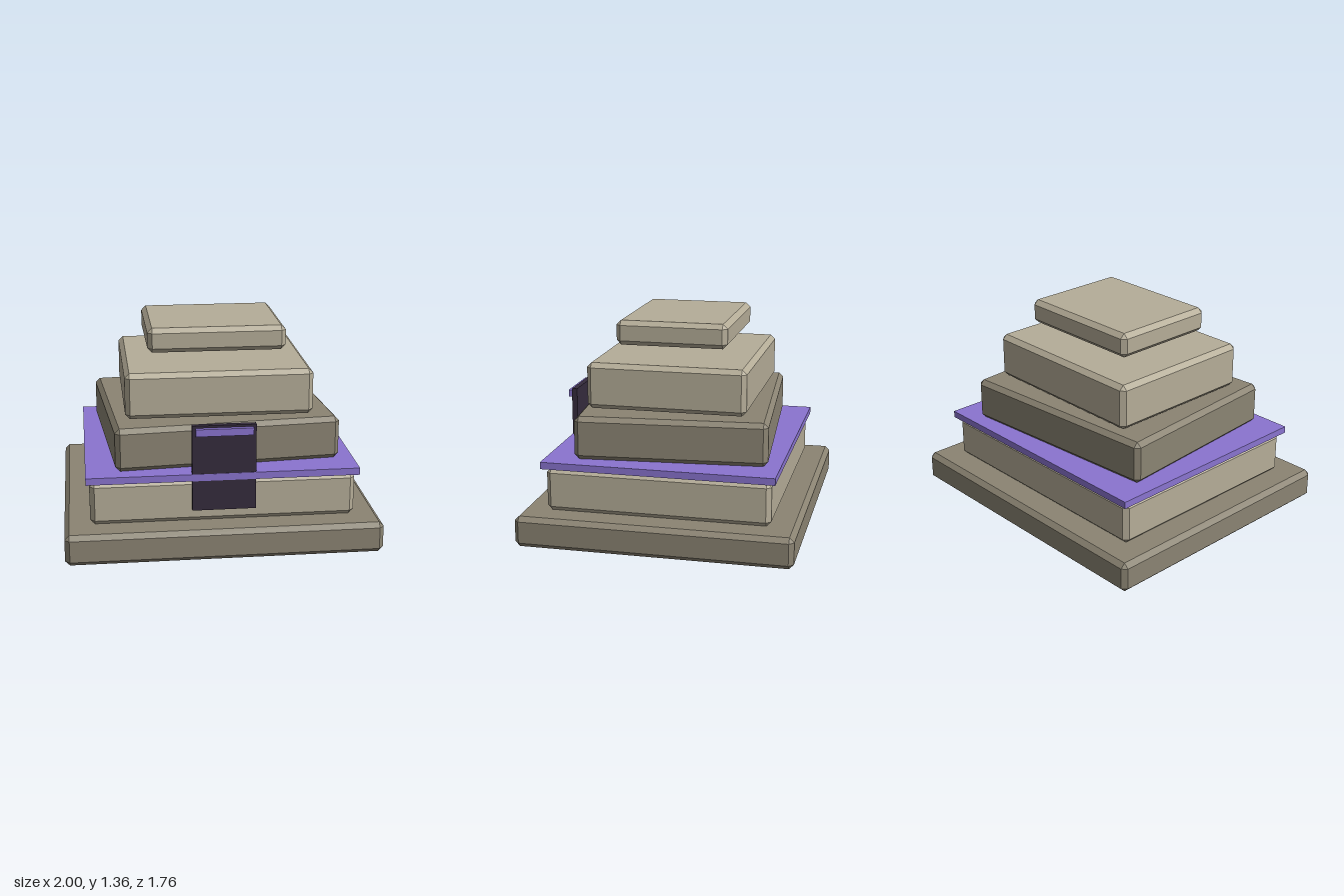
import * as THREE from 'three';
import { ConvexGeometry } from 'three/addons/geometries/ConvexGeometry.js';

const material = (name, color) => {
  const m = new THREE.MeshStandardMaterial({ color });
  m.name = name;
  return m;
};

// Box with every edge cut at 45 degrees
function chamferedBox(w, h, d, c) {
  const half = [w / 2, h / 2, d / 2];
  const points = [];
  for (const sx of [-1, 1]) for (const sy of [-1, 1]) for (const sz of [-1, 1]) {
    const signs = [sx, sy, sz];
    for (let face = 0; face < 3; face++) {
      const p = signs.map((s, i) => s * (half[i] - (i === face ? 0 : c)));
      points.push(new THREE.Vector3(...p));
    }
  }
  return new ConvexGeometry(points);
}

export function createModel() {
  const model = new THREE.Group();
  model.name = 'steppedShrine';

  const lightStone = material('lightStone', 0xb5ad98);
  const darkStone = material('darkStone', 0x8b8473);
  const purple = material('purpleGlow', 0x8a74d0);
  const dark = material('darkDoor', 0x352b3d);

  const add = (name, geometry, mat, y, z = 0, turn = 0) => {
    const mesh = new THREE.Mesh(geometry, mat);
    mesh.name = name;
    mesh.position.set(0, y, z);
    mesh.rotation.y = turn;
    model.add(mesh);
  };

  // Stone tiers: name, width, depth, bottom, top, material, turn
  const tiers = [
    ['baseTier', 2, 1.76, 0, 0.2, darkStone, 0],
    ['lowerTier', 1.675, 1.43, 0.2, 0.48, lightStone, 0],
    ['twistedTier', 1.44, 1.22, 0.525, 0.803, darkStone, 0.08],
    ['upperTier', 1.195, 1.025, 0.817, 1.113, lightStone, 0],
    ['floatingCap', 0.885, 0.72, 1.203, 1.362, lightStone, 0],
  ];
  for (const [name, w, d, y0, y1, mat, turn] of tiers) {
    add(name, chamferedBox(w, y1 - y0, d, 0.03), mat, (y0 + y1) / 2, 0, turn);
  }

  // Thin band between the tiers
  add('purpleBand', new THREE.BoxGeometry(1.72, 0.045, 1.484), purple, 0.5025);

  // Door panel and its lintel on the front
  add('door', new THREE.BoxGeometry(0.4, 0.556, 0.036), dark, 0.562, 0.722);
  add('doorLintel', new THREE.BoxGeometry(0.36, 0.046, 0.035), purple, 0.802, 0.751);

  return model;
}
